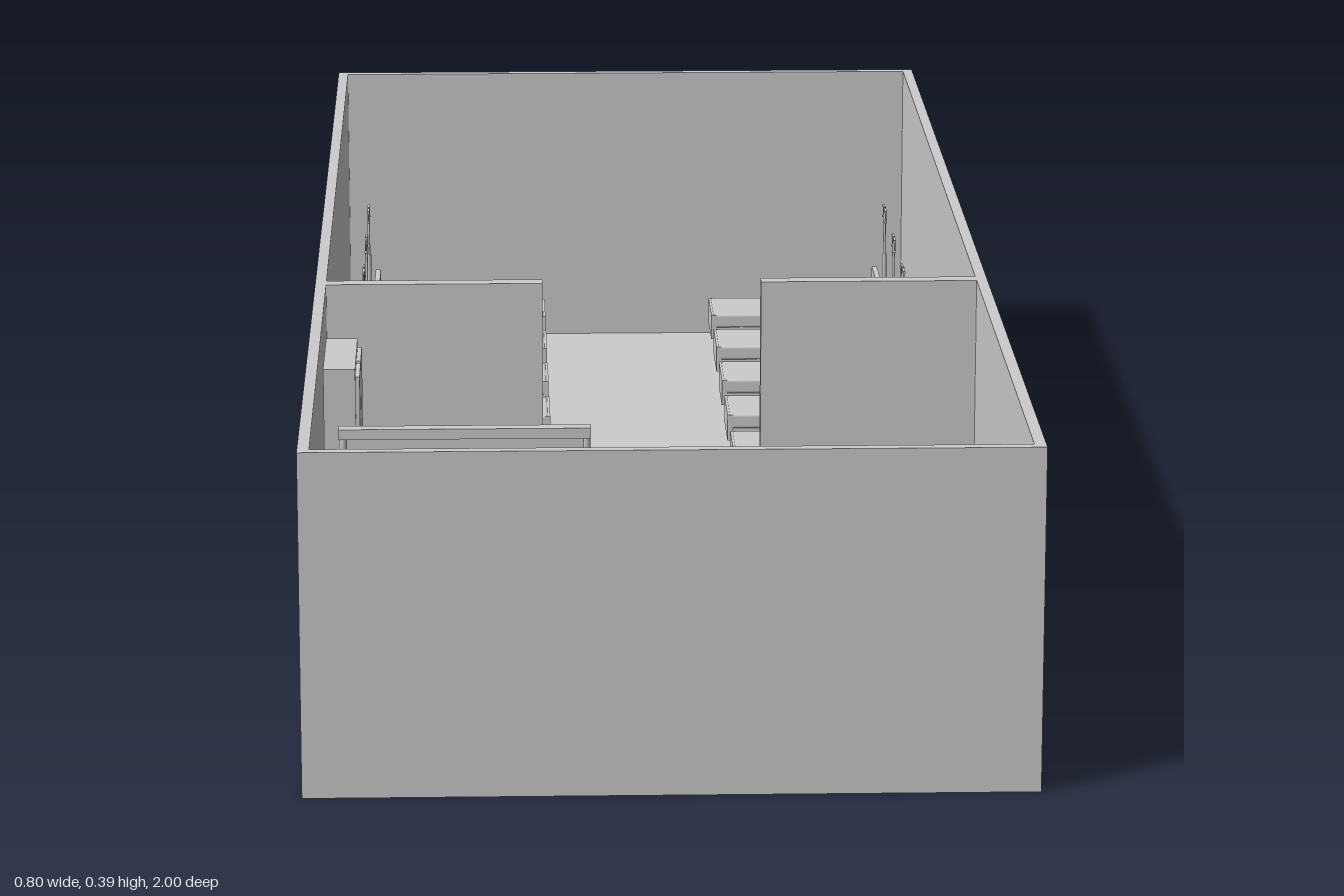
import * as THREE from 'three';
import { RoundedBoxGeometry } from 'three/addons/geometries/RoundedBoxGeometry.js';

const FLOOR = 0.013, WALL = 0.013, TOP = 0.387;
const material = new THREE.MeshStandardMaterial({ color: 0xcccccc });

function add(parent, name, geometry, x = 0, y = 0, z = 0) {
  const mesh = new THREE.Mesh(geometry, material);
  mesh.name = name;
  mesh.position.set(x, y, z);
  parent.add(mesh);
  return mesh;
}

// Box given by its lower and upper corners
function box(parent, name, [x0, y0, z0], [x1, y1, z1]) {
  const g = new THREE.BoxGeometry(x1 - x0, y1 - y0, z1 - z0);
  return add(parent, name, g, (x0 + x1) / 2, (y0 + y1) / 2, (z0 + z1) / 2);
}

// Upright rod from y0 to y1
function rod(parent, name, r, x, y0, y1, z) {
  return add(parent, name, new THREE.CylinderGeometry(r, r, y1 - y0, 10), x, (y0 + y1) / 2, z);
}

function group(parent, name, x = 0, z = 0, turn = 0) {
  const g = new THREE.Group();
  g.name = name;
  g.position.set(x, FLOOR, z);
  g.rotation.y = turn;
  parent.add(g);
  return g;
}

// Bed with its head towards local -x
function bed(parent, name, x, z, turn) {
  const g = group(parent, name, x, z, turn);
  box(g, 'frame', [-0.115, 0.026, -0.048], [0.115, 0.04, 0.048]);
  add(g, 'mattress', new RoundedBoxGeometry(0.226, 0.02, 0.098, 2, 0.004), 0.003, 0.049, 0);
  add(g, 'pillow', new RoundedBoxGeometry(0.04, 0.014, 0.084, 3, 0.006), -0.077, 0.064, 0);
  box(g, 'headboard', [-0.118, 0.026, -0.05], [-0.111, 0.102, 0.05]);
  box(g, 'footboard', [0.111, 0.024, -0.05], [0.118, 0.058, 0.05]);
  for (const lx of [-0.108, 0.108])
    for (const lz of [-0.042, 0.042]) {
      rod(g, 'leg', 0.004, lx, 0.006, 0.03, lz);
      const wheel = add(g, 'wheel', new THREE.CylinderGeometry(0.006, 0.006, 0.005, 12), lx, 0.006, lz);
      wheel.rotation.x = Math.PI / 2;
    }
}

// Drip stand with a cross bar and two hooks
function dripStand(parent, x, z, turn = 0) {
  const g = group(parent, 'dripStand', x, z, turn);
  rod(g, 'base', 0.013, 0, 0, 0.005, 0);
  rod(g, 'lowerPole', 0.0032, 0, 0.005, 0.125, 0);
  rod(g, 'upperPole', 0.0018, 0, 0.125, 0.192, 0);
  box(g, 'crossBar', [-0.0015, 0.188, -0.022], [0.0015, 0.191, 0.022]);
  for (const s of [-1, 1]) {
    rod(g, 'hook', 0.001, 0, 0.176, 0.189, s * 0.02);
    add(g, 'hookTip', new THREE.SphereGeometry(0.0022, 8, 6), 0, 0.175, s * 0.02);
  }
}

// Two-door cupboard standing against a wall, doors towards local +z
function cupboard(parent, name, x, z, turn, w, d, h) {
  const g = group(parent, name, x, z, turn);
  box(g, 'carcass', [-w / 2, 0, -d / 2], [w / 2, h, d / 2 - 0.005]);
  for (const s of [-1, 1]) {
    const cx = s * (w / 4 + 0.001);
    add(g, 'door', new THREE.BoxGeometry(w / 2 - 0.008, h - 0.02, 0.005), cx, h / 2, d / 2 - 0.0025);
    add(g, 'handle', new THREE.BoxGeometry(0.005, 0.022, 0.006), s * 0.016, h * 0.5, d / 2 + 0.003);
  }
}

export function createModel() {
  const root = new THREE.Group();
  root.name = 'hospitalWard';

  // Open-topped room
  const room = new THREE.Group();
  room.name = 'room';
  root.add(room);
  box(room, 'floor', [-0.4, 0, -1], [0.4, FLOOR, 1]);
  for (const s of [-1, 1]) {
    add(room, 'sideWall', new THREE.BoxGeometry(WALL, TOP - FLOOR, 2), s * (0.4 - WALL / 2), (TOP + FLOOR) / 2, 0);
    add(room, 'endWall', new THREE.BoxGeometry(0.8 - 2 * WALL, TOP - FLOOR, WALL), 0, (TOP + FLOOR) / 2, s * (1 - WALL / 2));
    add(room, 'partition', new THREE.BoxGeometry(0.257, TOP - FLOOR, 0.02), s * 0.2585, (TOP + FLOOR) / 2, 0.238);
  }

  // Two rows of beds, each with a drip stand at its head
  for (let i = 0; i < 7; i++) {
    const z = -0.905 + i * 0.1785;
    bed(root, 'bed', -0.233, z, 0);
    bed(root, 'bed', 0.233, z, Math.PI);
    dripStand(root, -0.36, z - 0.047);
    dripStand(root, 0.36, z - 0.03);
  }

  // Examination corner: couch, step, stand and privacy screen
  bed(root, 'examinationCouch', -0.195, 0.82, Math.PI / 2);
  dripStand(root, -0.335, 0.88, Math.PI / 2);
  const step = group(root, 'step', -0.118, 0.8);
  box(step, 'tread', [-0.018, 0.02, -0.073], [0.018, 0.027, 0.073]);
  for (const s of [-1, 1])
    add(step, 'support', new THREE.BoxGeometry(0.032, 0.02, 0.006), 0, 0.01, s * 0.065);
  const screen = group(root, 'privacyScreen', -0.2225, 0.597);
  box(screen, 'panel', [-0.138, 0.02, -0.003], [0.138, 0.28, 0.003]);
  box(screen, 'topRail', [-0.143, 0.28, -0.008], [0.143, 0.292, 0.008]);
  for (const s of [-1, 1]) {
    rod(screen, 'post', 0.005, s * 0.138, 0, 0.28, 0);
    add(screen, 'foot', new THREE.BoxGeometry(0.01, 0.006, 0.016), s * 0.138, 0.003, 0);
  }

  // Cupboards
  cupboard(root, 'wallCupboard', -0.365, 0.387, Math.PI / 2, 0.145, 0.042, 0.325);
  cupboard(root, 'wardrobe', 0.222, 0.947, Math.PI, 0.225, 0.09, 0.33);

  // Desk
  const desk = group(root, 'desk', 0.181, 0.743);
  box(desk, 'deskTop', [-0.037, 0.107, -0.101], [0.037, 0.116, 0.101]);
  for (const x of [-0.03, 0.03])
    for (const z of [-0.093, 0.093])
      add(desk, 'deskLeg', new THREE.BoxGeometry(0.009, 0.107, 0.009), x, 0.0535, z);

  // Chair facing the desk
  const chair = group(root, 'chair', 0.275, 0.745);
  box(chair, 'seat', [-0.03, 0.064, -0.028], [0.03, 0.072, 0.028]);
  const back = box(chair, 'backrest', [0.024, 0.098, -0.027], [0.03, 0.15, 0.027]);
  back.rotation.z = -0.08;
  for (const z of [-0.023, 0.023]) {
    rod(chair, 'frontLeg', 0.003, -0.025, 0, 0.065, z);
    rod(chair, 'backLeg', 0.003, 0.026, 0, 0.12, z);
  }
  return root;
}
